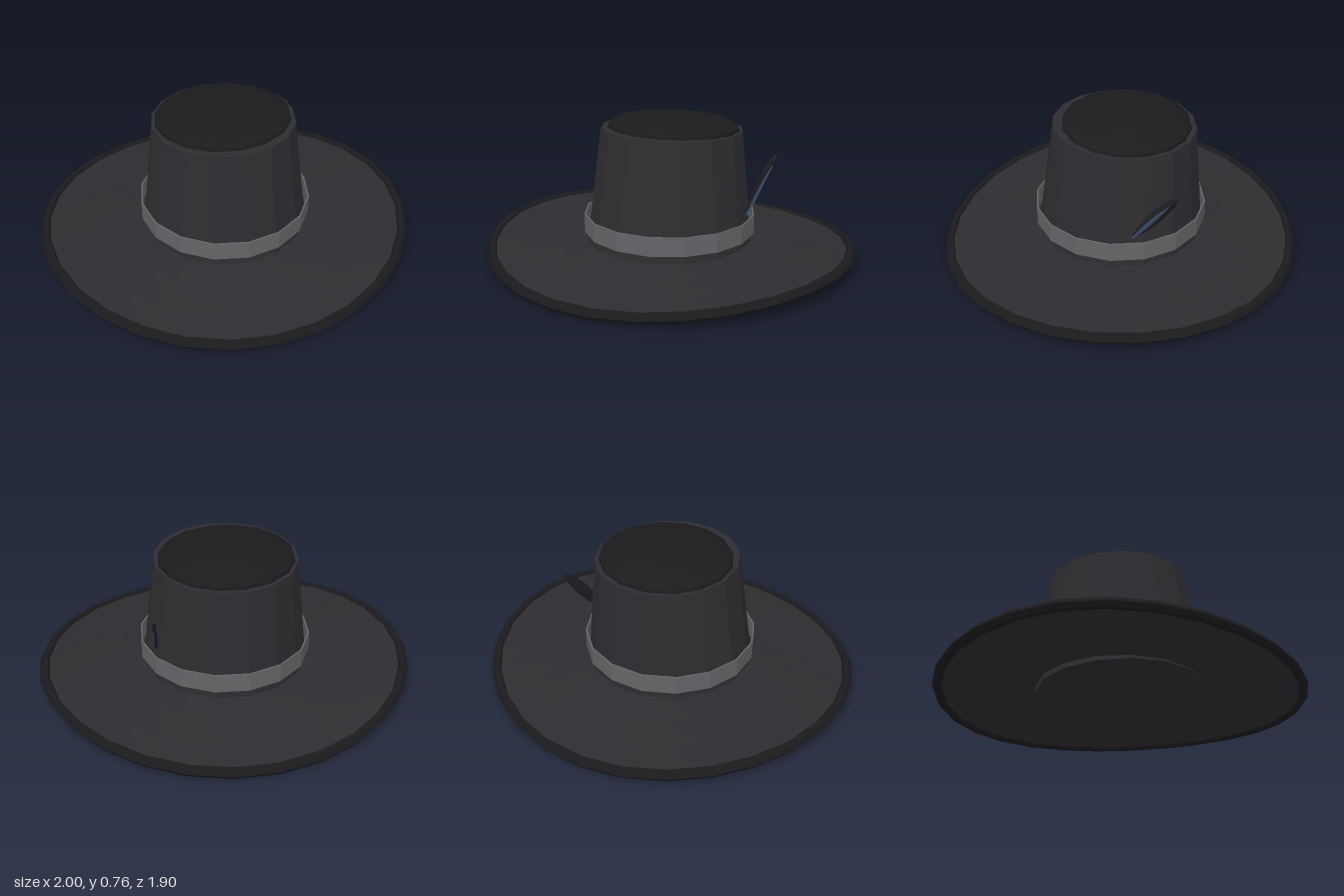
import * as THREE from 'three';

const felt = new THREE.MeshStandardMaterial({ color: 0x2e2c30, flatShading: true, side: THREE.DoubleSide });
const trim = new THREE.MeshStandardMaterial({ color: 0x1b1a1d, flatShading: true, side: THREE.DoubleSide });
const ribbon = new THREE.MeshStandardMaterial({ color: 0x656468, flatShading: true, side: THREE.DoubleSide });
const vane = new THREE.MeshStandardMaterial({ color: 0x1d1d22, flatShading: true, side: THREE.DoubleSide });
const blue = new THREE.MeshStandardMaterial({ color: 0x34455f, flatShading: true, side: THREE.DoubleSide });

// Turned part from [radius, height] pairs, listed upwards along the outer side
function turned(name, profile, sides, material) {
  const points = profile.map(([r, y]) => new THREE.Vector2(r, y));
  const mesh = new THREE.Mesh(new THREE.LatheGeometry(points, sides), material);
  mesh.name = name;
  return mesh;
}

// Brim curve: front and back droop, sides lift slightly, outline a little oval
function bendBrim(geometry) {
  const p = geometry.attributes.position;
  for (let i = 0; i < p.count; i++) {
    const x = p.getX(i), z = p.getZ(i), r = Math.hypot(x, z);
    const t = Math.max(0, (r - 0.42) / 0.55);
    const s = (x / r) ** 2;
    p.setY(i, p.getY(i) + t * (0.003 * s - 0.066 * (1 - s)));
    p.setZ(i, z * (1 - 0.05 * Math.min(t, 1)));
  }
  geometry.computeVertexNormals();
}

// Strip lofted through rows of equal length
function loft(name, rows, material) {
  const n = rows[0].length, index = [];
  for (let i = 0; i < rows.length - 1; i++) {
    for (let j = 0; j < n - 1; j++) {
      const a = i * n + j;
      index.push(a, a + 1, a + n, a + 1, a + n + 1, a + n);
    }
  }
  const geometry = new THREE.BufferGeometry().setFromPoints(rows.flat());
  geometry.setIndex(index);
  geometry.computeVertexNormals();
  const mesh = new THREE.Mesh(geometry, material);
  mesh.name = name;
  return mesh;
}

function createFeather() {
  const feather = new THREE.Group();
  feather.name = 'feather';
  const base = new THREE.Vector3(0.405, 0.27, -0.115);
  const tip = new THREE.Vector3(0.45, 0.55, -0.335);
  const along = tip.clone().sub(base).normalize();
  const across = new THREE.Vector3(1, 0, 0).cross(along).normalize();
  const out = along.clone().cross(across).normalize();
  if (out.x < 0) out.negate();
  const at = (t, side, lift) => base.clone().lerp(tip, t).addScaledVector(across, side).addScaledVector(out, lift);
  // Folded blade with a raised spine
  const widths = [[0, 0.006], [0.12, 0.02], [0.35, 0.031], [0.6, 0.034], [0.85, 0.024], [1, 0.002]];
  feather.add(loft('featherBlade', widths.map(([t, w]) =>
    [at(t, -w, -0.006), at(t, 0, 0.01), at(t, w, -0.006), at(t, 0, -0.008), at(t, -w, -0.006)]), vane));
  // Coloured quill along the spine
  const quill = [[-0.01, 0.007], [0.3, 0.013], [0.55, 0.011], [0.82, 0.001]];
  feather.add(loft('featherQuill', quill.map(([t, w]) =>
    [at(t, -w, 0.006), at(t, 0, 0.015), at(t, w, 0.006)]), blue));
  return feather;
}

export function createModel() {
  const hat = new THREE.Group();
  hat.name = 'hat';

  // Brim sheet
  const brim = turned('brim', [
    [0.41, 0.088], [0.6, 0.086], [0.8, 0.084], [0.97, 0.084],
    [0.97, 0.104], [0.8, 0.104], [0.6, 0.104], [0.41, 0.106],
  ], 28, felt);
  bendBrim(brim.geometry);

  // Six-sided rolled edge
  const ring = [];
  for (let i = 0; i <= 6; i++) {
    const a = (i / 6) * Math.PI * 2;
    ring.push([0.971 + 0.029 * Math.cos(a), 0.094 + 0.026 * Math.sin(a)]);
  }
  const edge = turned('brimEdge', ring, 28, trim);
  bendBrim(edge.geometry);

  // Crown leans back slightly
  const crown = new THREE.Group();
  crown.name = 'crown';
  crown.position.y = 0.065;
  crown.rotation.x = -0.035;
  crown.add(turned('crownWall', [[0, 0], [0.444, 0], [0.374, 0.632], [0, 0.632]], 16, felt));
  const cap = turned('crownTop', [
    [0.358, 0.625], [0.352, 0.648], [0.305, 0.672], [0.16, 0.692], [0, 0.698],
  ], 16, trim);
  cap.scale.z = 0.94;
  cap.position.z = -0.012;
  crown.add(cap);

  // Band around the crown
  const band = turned('hatBand', [
    [0.448, 0.15], [0.456, 0.15], [0.456, 0.25], [0.448, 0.25], [0.448, 0.15],
  ], 16, ribbon);

  hat.add(brim, edge, crown, band, createFeather());
  return hat;
}
